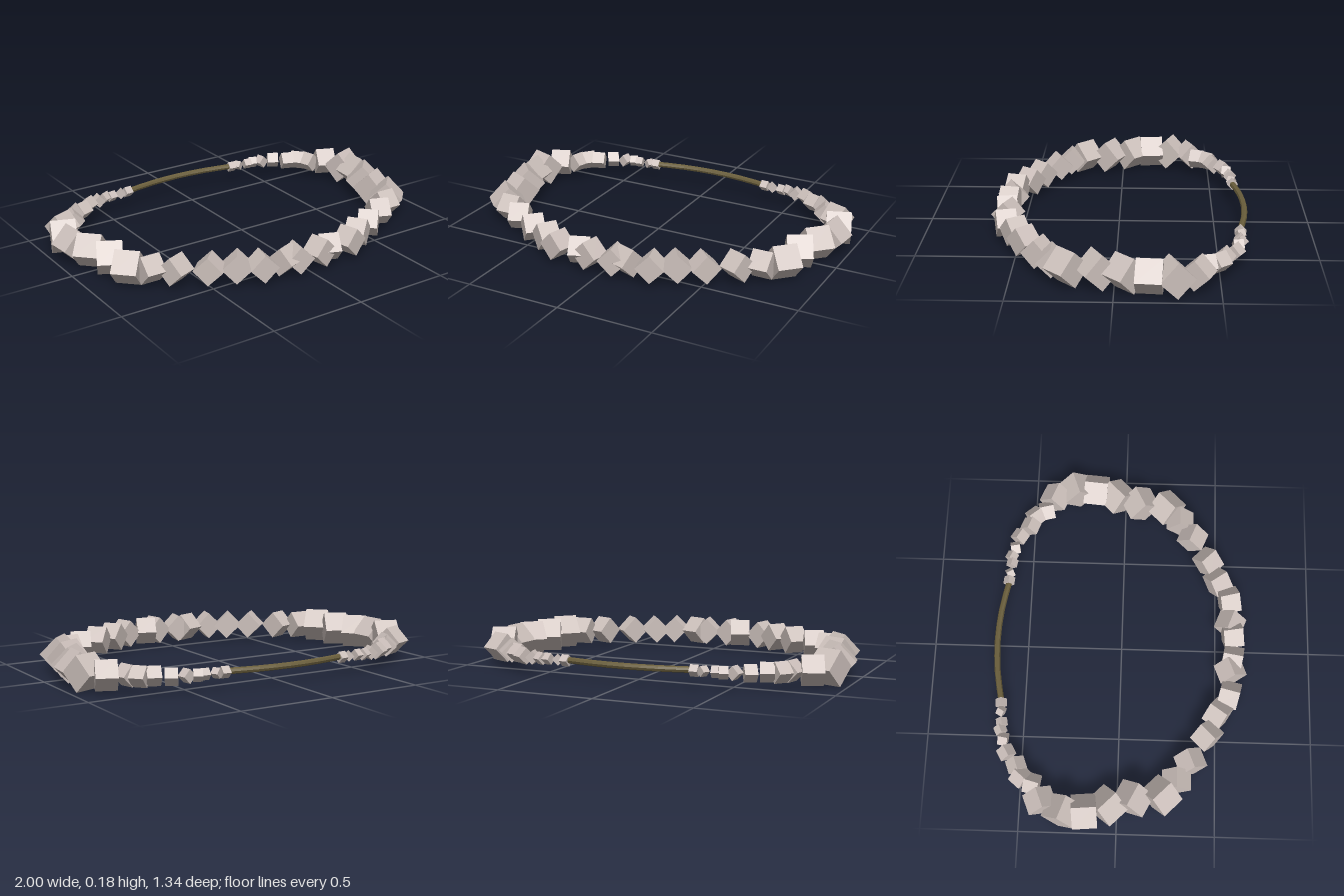
import * as THREE from 'three';

const MID = 0.09;

// Cube beads of the left half: x, z, edge length, heading of the upper edge in degrees (x towards z)
const BEADS = [
  [0.07, 0.587, 0.104, 80], [0.132, 0.575, 0.104, 21], [0.267, 0.57, 0.104, 76],
  [0.37, 0.51, 0.104, 55], [0.49, 0.455, 0.104, 45], [0.63, 0.37, 0.104, 22],
  [0.73, 0.3, 0.104, 0], [0.81, 0.225, 0.127, -45], [0.83, 0.08, 0.127, -27],
  [0.87, -0.05, 0.127, -45], [0.905, -0.165, 0.127, 95], [0.905, -0.275, 0.127, -20],
  [0.855, -0.39, 0.107, 22], [0.77, -0.435, 0.077, 75], [0.735, -0.495, 0.075, 50],
  [0.675, -0.52, 0.07, 20], [0.61, -0.575, 0.062, 30], [0.54, -0.595, 0.05, 80],
  [0.49, -0.612, 0.045, 25], [0.45, -0.608, 0.042, 10], [0.39, -0.615, 0.038, 60],
  [0.345, -0.618, 0.042, 5],
];

export function createModel() {
  const bracelet = new THREE.Group();
  bracelet.name = 'beadBracelet';
  const stone = new THREE.MeshStandardMaterial({ color: 0xcdc1bc, flatShading: true });
  const cordMat = new THREE.MeshStandardMaterial({ color: 0x6b5f3c, flatShading: true });
  const cube = new THREE.BoxGeometry(1, 1, 1);

  // Mirrored halves; every cube stands on one edge, then turns about the vertical
  for (const side of [1, -1]) {
    const half = new THREE.Group();
    half.name = side > 0 ? 'leftBeads' : 'rightBeads';
    BEADS.forEach(([x, z, size, heading], i) => {
      const bead = new THREE.Mesh(cube, stone);
      bead.name = `cubeBead${i + 1}`;
      bead.scale.setScalar(size);
      bead.position.set(side * x, MID, z);
      bead.rotation.set(Math.PI / 4, -side * THREE.MathUtils.degToRad(heading), 0, 'YXZ');
      half.add(bead);
    });
    bracelet.add(half);
  }

  // Bare cord bridging the back
  const path = new THREE.CatmullRomCurve3(
    [[-0.345, -0.615], [-0.18, -0.646], [0, -0.658], [0.18, -0.646], [0.345, -0.615]]
      .map(([x, z]) => new THREE.Vector3(x, MID + 0.003, z)));
  const cord = new THREE.Mesh(new THREE.TubeGeometry(path, 8, 0.016, 8), cordMat);
  cord.name = 'cord';
  bracelet.add(cord);

  return bracelet;
}
